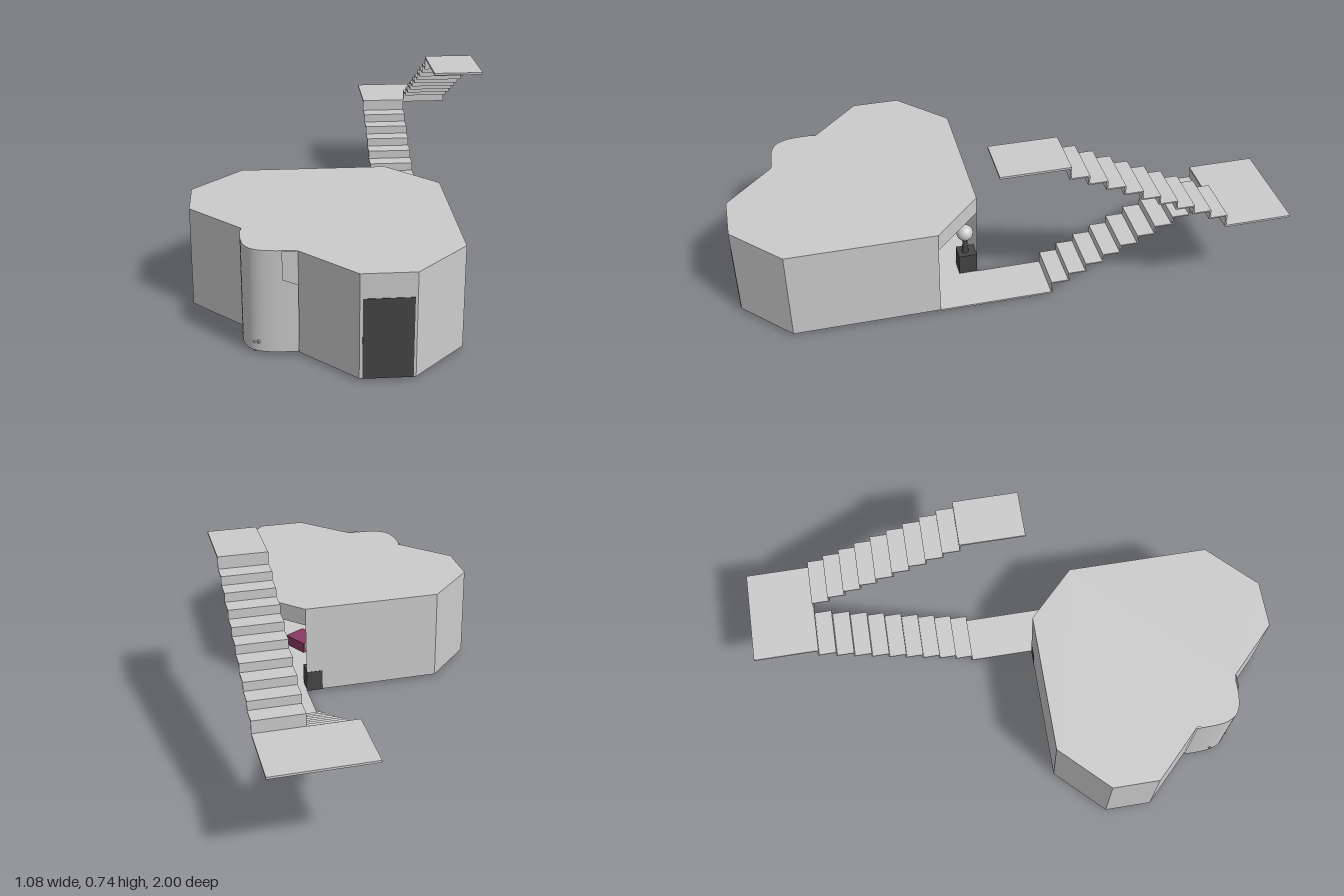
import * as THREE from 'three';

const grey = new THREE.MeshStandardMaterial({ color: 0xcccccc, side: THREE.DoubleSide });
const tint = (color) => new THREE.MeshStandardMaterial({ color, side: THREE.DoubleSide });
const dark = tint(0x444444), rose = tint(0x8a3a62), teal = tint(0x4a7f8c);
const FLOOR = 0.016, ROOF = 0.38;

function add(parent, name, geometry, material = grey) {
  const mesh = new THREE.Mesh(geometry, material);
  mesh.name = name;
  parent.add(mesh);
  return mesh;
}

// Box given by its lower and upper corners
function box(parent, name, [x0, y0, z0], [x1, y1, z1], material) {
  const mesh = add(parent, name, new THREE.BoxGeometry(x1 - x0, y1 - y0, z1 - z0), material);
  mesh.position.set((x0 + x1) / 2, (y0 + y1) / 2, (z0 + z1) / 2);
  return mesh;
}

// Upright wall following a plan path of [x, z] points
function wall(path, y0, y1, smooth) {
  const positions = [], index = [];
  path.forEach(([x, z], i) => {
    positions.push(x, y0, z, x, y1, z);
    if (i) index.push(2 * i - 2, 2 * i, 2 * i + 1, 2 * i - 2, 2 * i + 1, 2 * i - 1);
  });
  let g = new THREE.BufferGeometry();
  g.setAttribute('position', new THREE.Float32BufferAttribute(positions, 3));
  g.setIndex(index);
  if (!smooth) g = g.toNonIndexed();
  g.computeVertexNormals();
  return g;
}

// Flat slab with a plan outline, top at y = top
function slab(path, top, depth) {
  const shape = new THREE.Shape(path.map(([x, z]) => new THREE.Vector2(x, -z)));
  const g = depth ? new THREE.ExtrudeGeometry(shape, { depth, bevelEnabled: false })
    : new THREE.ShapeGeometry(shape);
  return g.rotateX(-Math.PI / 2).translate(0, top - (depth || 0), 0);
}

// Thin folded flight of stairs; dir is the walking direction along z
function flight(parent, name, x0, x1, z0, y0, y1, dir) {
  const group = new THREE.Group();
  group.name = name;
  parent.add(group);
  const n = 10, run = 0.066, t = 0.005;
  const height = (i) => (i === 0 ? y0 : i === n ? y1 : y0 + 0.047 + (i - 1) * (y1 - y0 - 0.094) / (n - 2));
  for (let i = 0; i < n; i++) {
    const z = z0 + dir * i * run, end = z + dir * run;
    box(group, 'riser', [x0, height(i) - t, Math.min(z, z + dir * t)],
      [x1, height(i + 1), Math.max(z, z + dir * t)]);
    if (i < n - 1) {
      box(group, 'tread', [x0, height(i + 1) - t, Math.min(z, end)], [x1, height(i + 1), Math.max(z, end)]);
    }
  }
}

export function createModel() {
  const model = new THREE.Group();
  model.name = 'roomWithStairs';

  // Room shell: faceted walls with a rounded bay, open on one diagonal
  const room = new THREE.Group();
  room.name = 'room';
  model.add(room);
  const front = [[-0.18, 0.82], [0, 0.998], [0.18, 0.998], [0.36, 0.82], [0.36, 0.27]];
  const back = [[0.18, 0.09], [-0.36, 0.09], [-0.54, 0.27], [-0.54, 0.45], [-0.36, 0.63]];
  const bay = new THREE.CubicBezierCurve(new THREE.Vector2(-0.365, 0.63), new THREE.Vector2(-0.37, 0.79),
    new THREE.Vector2(-0.35, 0.82), new THREE.Vector2(-0.18, 0.815)).getPoints(20).map((p) => [p.x, p.y]);
  const outline = [...front, ...back, ...bay.slice(1, -1)];
  add(room, 'frontWalls', wall(front, FLOOR, ROOF));
  add(room, 'backWalls', wall(back, FLOOR, ROOF));
  add(room, 'roundedBay', wall(bay, FLOOR, ROOF, true));
  add(room, 'entranceLintel', wall([front[4], back[0]], 0.31, ROOF));
  add(room, 'roof', slab(outline, ROOF));
  add(room, 'floor', slab(outline, FLOOR));
  box(room, 'frontDoor', [0.01, FLOOR, 0.996], [0.172, 0.295, 1], dark);

  // Small slanted panel beside the bay
  const panel = new THREE.Shape([[-0.232, ROOF], [-0.232, 0.28], [-0.18, 0.26], [-0.18, ROOF]]
    .map(([x, y]) => new THREE.Vector2(x, y)));
  add(room, 'bayPanel', new THREE.ShapeGeometry(panel).translate(0, 0, 0.822));

  // Furniture
  const furniture = new THREE.Group();
  furniture.name = 'furniture';
  model.add(furniture);
  const base = FLOOR - 0.001;
  box(furniture, 'pedestal', [0.115, base, 0.089], [0.178, 0.1, 0.16], dark);
  const stem = add(furniture, 'globeStem', new THREE.CylinderGeometry(0.008, 0.014, 0.07, 12), dark);
  stem.position.set(0.147, 0.13, 0.13);
  const globe = add(furniture, 'globe', new THREE.SphereGeometry(0.032, 20, 14));
  globe.position.set(0.147, 0.193, 0.13);
  box(furniture, 'counter', [0.305, base, 0.43], [0.355, 0.11, 0.74], dark);
  const table = box(furniture, 'table', [0.055, base, 0.435], [0.165, 0.06, 0.53], rose);
  table.rotation.y = -Math.PI / 3;
  const sofa = [[-0.11, 0.43], [-0.175, 0.29], [-0.32, 0.34], [-0.33, 0.48],
    [-0.27, 0.47], [-0.26, 0.38], [-0.2, 0.36], [-0.165, 0.44]];
  add(furniture, 'cornerSofa', slab(sofa, base + 0.07, 0.07), teal);

  // Pebbles around the foot of the bay
  for (let i = 0; i < 7; i++) {
    const pebble = add(model, 'pebble', new THREE.IcosahedronGeometry(0.006, 0), dark);
    pebble.position.set(-0.335 + i * 0.012, 0.011, 0.76 + 0.03 * Math.sin(i * 2.3));
  }
  for (const [x, y, z] of [[-0.362, 0.052, 0.73], [-0.325, 0.046, 0.79], [-0.312, 0.052, 0.805]]) {
    add(model, 'wallStud', new THREE.IcosahedronGeometry(0.007, 0)).position.set(x, y, z);
  }

  // Landings and the two flights of stairs
  add(model, 'entranceLanding', slab([[0.18, 0.09], [0.36, 0.27], [0.36, -0.16], [0.18, -0.16]], 0.017, 0.007));
  flight(model, 'lowerFlight', 0.18, 0.36, -0.16, 0.017, 0.38, -1);
  box(model, 'middleLanding', [0.18, 0.372, -1], [0.54, 0.38, -0.75]);
  flight(model, 'upperFlight', 0.36, 0.54, -0.75, 0.38, 0.742, 1);
  box(model, 'topLanding', [0.36, 0.734, -0.156], [0.54, 0.742, 0.09]);
  return model;
}
